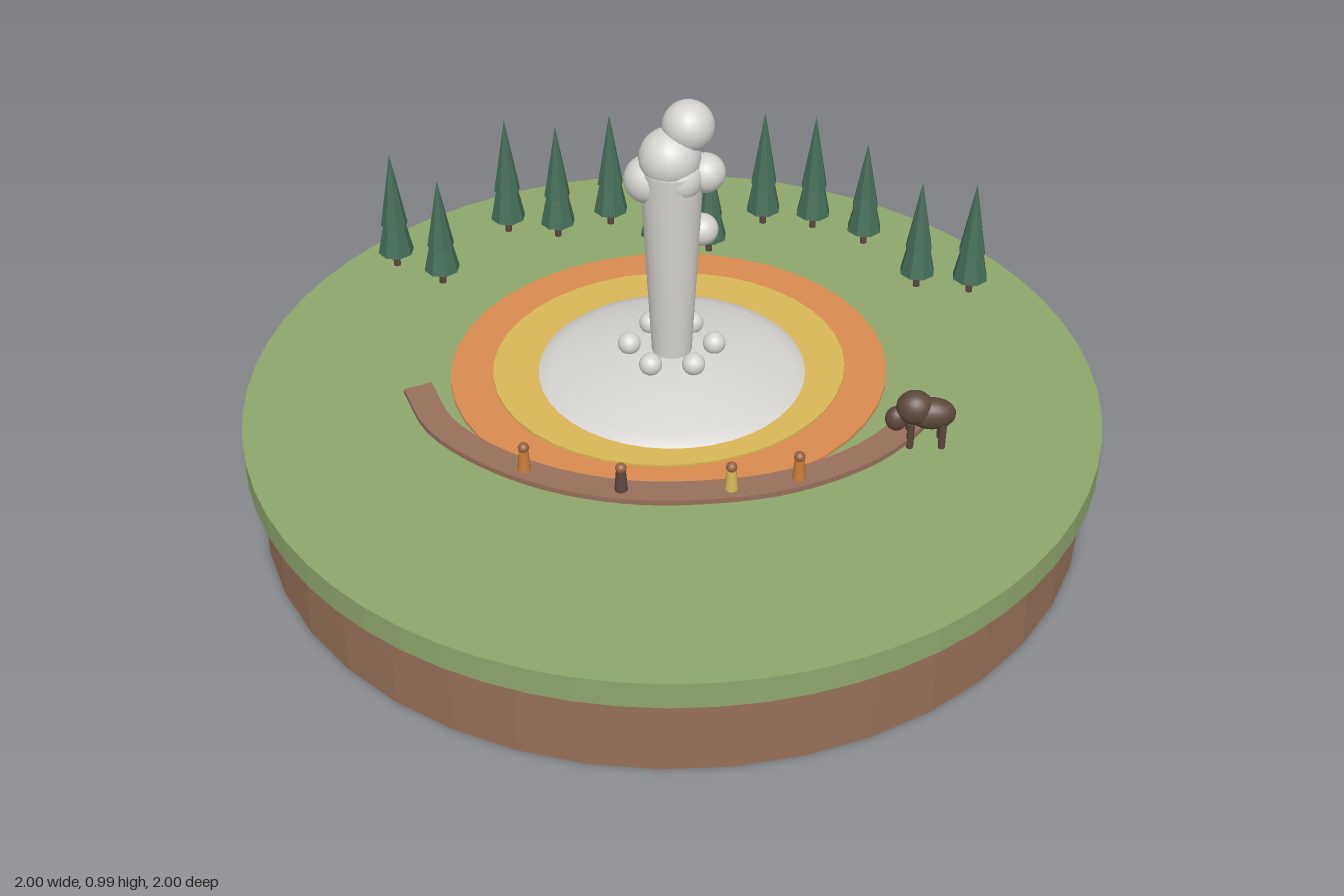
import * as THREE from 'three';

const mat = (name, color, flatShading = false) => {
  const m = new THREE.MeshStandardMaterial({ color });
  m.name = name;
  m.flatShading = flatShading;
  return m;
};

export function createModel() {
  const model = new THREE.Group();
  model.name = 'geyserDiorama';
  const M = {
    grass: mat('grass green', 0x8fa66c, true),
    soil: mat('soil brown', 0x96715a, true),
    orange: mat('mineral orange', 0xd98c50),
    yellow: mat('mineral yellow', 0xd9b857),
    white: mat('steam white', 0xd6d4d0),
    wood: mat('deck wood', 0x96705c, true),
    pine: mat('pine green', 0x456c57, true),
    dark: mat('dark brown', 0x5c483c),
    coat: mat('coat orange', 0xcc7c38),
    skin: mat('skin', 0x9a6440),
  };
  const add = (name, geo, material, x = 0, y = 0, z = 0, parent = model) => {
    const mesh = new THREE.Mesh(geo, material);
    mesh.name = name;
    mesh.position.set(x, y, z);
    parent.add(mesh);
    return mesh;
  };
  const cyl = (rt, rb, h, n) => new THREE.CylinderGeometry(rt, rb, h, n);
  const ball = new THREE.SphereGeometry(1, 20, 14);

  // Island
  add('soilBase', cyl(0.97, 0.97, 0.2, 40), M.soil, 0, 0.1, 0);
  add('grassTop', cyl(1, 1, 0.065, 64), M.grass, 0, 0.2325, 0);

  // Mineral rings around the spring
  add('outerMineralRing', cyl(1, 1, 0.008, 40), M.orange, 0.02, 0.268, -0.092).scale.set(0.52, 1, 0.495);
  add('innerMineralRing', cyl(1, 1, 0.008, 40), M.yellow, 0.02, 0.273, -0.092).scale.set(0.42, 1, 0.395);

  // Mound and water column
  const cx = 0.02, cz = -0.07;
  const profile = [[0.32, 0.265], [0.316, 0.277], [0.28, 0.29], [0.22, 0.308], [0.14, 0.327], [0.07, 0.336], [0, 0.338]];
  add('mound', new THREE.LatheGeometry(profile.map(p => new THREE.Vector2(...p)), 40), M.white, cx, 0, cz);
  add('waterColumn', cyl(0.073, 0.046, 0.52, 20), M.white, cx, 0.57, cz);

  // Steam puffs: x, y, z, radius
  [
    [0.06, 0.925, -0.075, 0.06], [0.015, 0.853, -0.07, 0.071], [-0.03, 0.795, -0.09, 0.056],
    [0.095, 0.81, -0.055, 0.046], [0.095, 0.647, -0.078, 0.038], [0, 0.7, -0.115, 0.037],
    [0.03, 0.81, -0.05, 0.055], [0.09, 0.79, -0.11, 0.04],
  ].forEach(([x, y, z, r]) => add('steamPuff', ball, M.white, x, y, z).scale.setScalar(r));
  for (let i = 0; i < 6; i++) {
    const a = (16 + i * 60) * Math.PI / 180;
    add('basePuff', ball, M.white, cx + 0.1 * Math.cos(a), 0.35, cz + 0.1 * Math.sin(a)).scale.setScalar(0.027);
  }

  // Pines: x, z, tip height
  [
    [-0.515, -0.725, 0.587], [-0.42, -0.612, 0.56], [-0.205, -0.805, 0.593], [-0.087, -0.745, 0.587],
    [0.06, -0.765, 0.587], [0.145, -0.618, 0.555], [0.267, -0.565, 0.543], [0.443, -0.655, 0.592],
    [0.561, -0.598, 0.592], [0.661, -0.487, 0.557], [0.717, -0.258, 0.564], [0.834, -0.197, 0.573],
  ].forEach(([x, z, top]) => {
    const tree = new THREE.Group();
    tree.name = 'pineTree';
    tree.position.set(x, 0.265, z);
    model.add(tree);
    const h = top - 0.265;
    add('trunk', cyl(0.008, 0.009, 0.06, 8), M.dark, 0, 0.03, 0, tree);
    add('lowerBranches', new THREE.ConeGeometry(0.045, h * 0.68, 8), M.pine, 0, 0.042 + h * 0.34, 0, tree);
    add('upperBranches', new THREE.ConeGeometry(0.034, h * 0.62, 8), M.pine, 0, h * 0.69, 0, tree);
  });

  // Curved boardwalk, an outline offset to both sides of a centre line
  const walk = new THREE.CatmullRomCurve3([
    [-0.575, -0.155], [-0.55, 0.02], [-0.41, 0.225], [-0.22, 0.358], [0, 0.42],
    [0.16, 0.427], [0.34, 0.385], [0.47, 0.31], [0.55, 0.235],
  ].map(([x, z]) => new THREE.Vector3(x, 0, z)));
  const left = [], right = [];
  for (let i = 0; i <= 36; i++) {
    const p = walk.getPointAt(i / 36), t = walk.getTangentAt(i / 36);
    left.push(new THREE.Vector2(p.x - t.z * 0.034, -(p.z + t.x * 0.034)));
    right.unshift(new THREE.Vector2(p.x + t.z * 0.034, -(p.z - t.x * 0.034)));
  }
  const deck = new THREE.ExtrudeGeometry(new THREE.Shape([...left, ...right]), { depth: 0.013, bevelEnabled: false });
  add('boardwalk', deck.rotateX(-Math.PI / 2), M.wood, 0, 0.276, 0);

  // Visitors
  [[-0.41, 0.225, M.coat], [-0.223, 0.357, M.dark], [0.01, 0.423, M.yellow], [0.165, 0.43, M.coat]]
    .forEach(([x, z, coat]) => {
      add('visitorBody', cyl(0.011, 0.015, 0.052, 10), coat, x, 0.315, z);
      add('visitorHead', ball, M.skin, x, 0.348, z).scale.setScalar(0.0125);
    });

  // Bison, facing local -x
  const bison = new THREE.Group();
  bison.name = 'bison';
  bison.position.set(0.49, 0.265, 0.357);
  bison.rotation.y = -0.3;
  model.add(bison);
  add('body', ball, M.dark, 0.015, 0.082, 0, bison).scale.set(0.055, 0.038, 0.034);
  add('hump', ball, M.dark, -0.024, 0.098, 0, bison).scale.set(0.043, 0.041, 0.037);
  add('head', ball, M.dark, -0.064, 0.067, 0, bison).scale.set(0.026, 0.03, 0.023);
  for (const x of [-0.032, 0.04]) for (const z of [-0.019, 0.019])
    add('leg', cyl(0.009, 0.008, 0.065, 8), M.dark, x, 0.0325, z, bison);

  return model;
}
